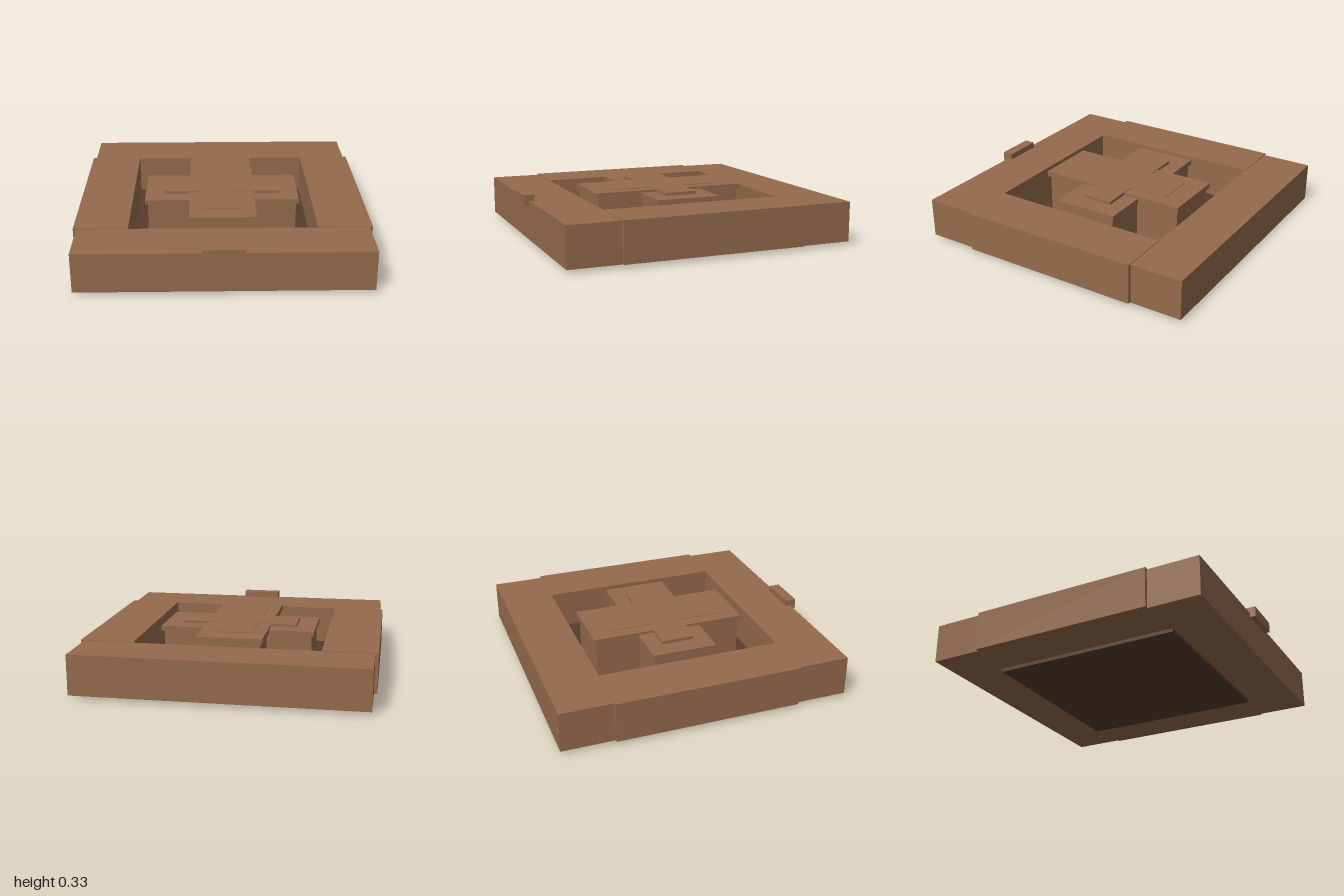
import * as THREE from 'three';

export function createModel() {
  const model = new THREE.Group();
  const brown = new THREE.MeshStandardMaterial({ color: 0x946a4c });
  brown.name = 'brown';
  const darkBrown = new THREE.MeshStandardMaterial({ color: 0x573b2c });
  darkBrown.name = 'dark brown';

  // Box given by its limits along each axis
  const block = (name, [x0, x1], [y0, y1], [z0, z1], material = brown) => {
    const mesh = new THREE.Mesh(new THREE.BoxGeometry(x1 - x0, y1 - y0, z1 - z0), material);
    mesh.position.set((x0 + x1) / 2, (y0 + y1) / 2, (z0 + z1) / 2);
    mesh.name = name;
    model.add(mesh);
  };

  // Floor slab
  block('floor', [-0.65, 0.65], [0, 0.028], [-0.667, 0.63], darkBrown);

  // Surrounding frame; the side walls stand slightly proud
  block('frontWall', [-0.96, 0.96], [0.022, 0.292], [0.605, 0.96]);
  block('backWall', [-0.96, 0.96], [0.022, 0.292], [-1, -0.645]);
  block('leftWall', [0.622, 0.982], [0.024, 0.297], [-0.647, 0.607]);
  block('rightWall', [-0.982, -0.622], [0.024, 0.297], [-0.647, 0.607]);

  // Front tab
  block('frontTab', [-0.135, 0.135], [0.262, 0.334], [0.925, 1]);

  // Cross-shaped pedestal rising from the floor
  block('pedestalAcross', [-0.517, 0.517], [0.02, 0.285], [-0.228, 0.183]);
  block('pedestalAlong', [-0.207, 0.207], [0.02, 0.295], [-0.543, 0.503]);

  // Overhanging cap plates
  block('capAcross', [-0.535, 0.535], [0.28, 0.313], [-0.245, 0.2]);
  block('capAlong', [-0.225, 0.225], [0.292, 0.329], [-0.56, 0.52]);

  // Thin raised cross on the cap
  block('raisedBarAcross', [-0.402, 0.402], [0.3, 0.333], [-0.135, 0.09]);
  block('raisedBarAlong', [-0.135, 0.135], [0.3, 0.3325], [-0.412, 0.38]);

  return model;
}
